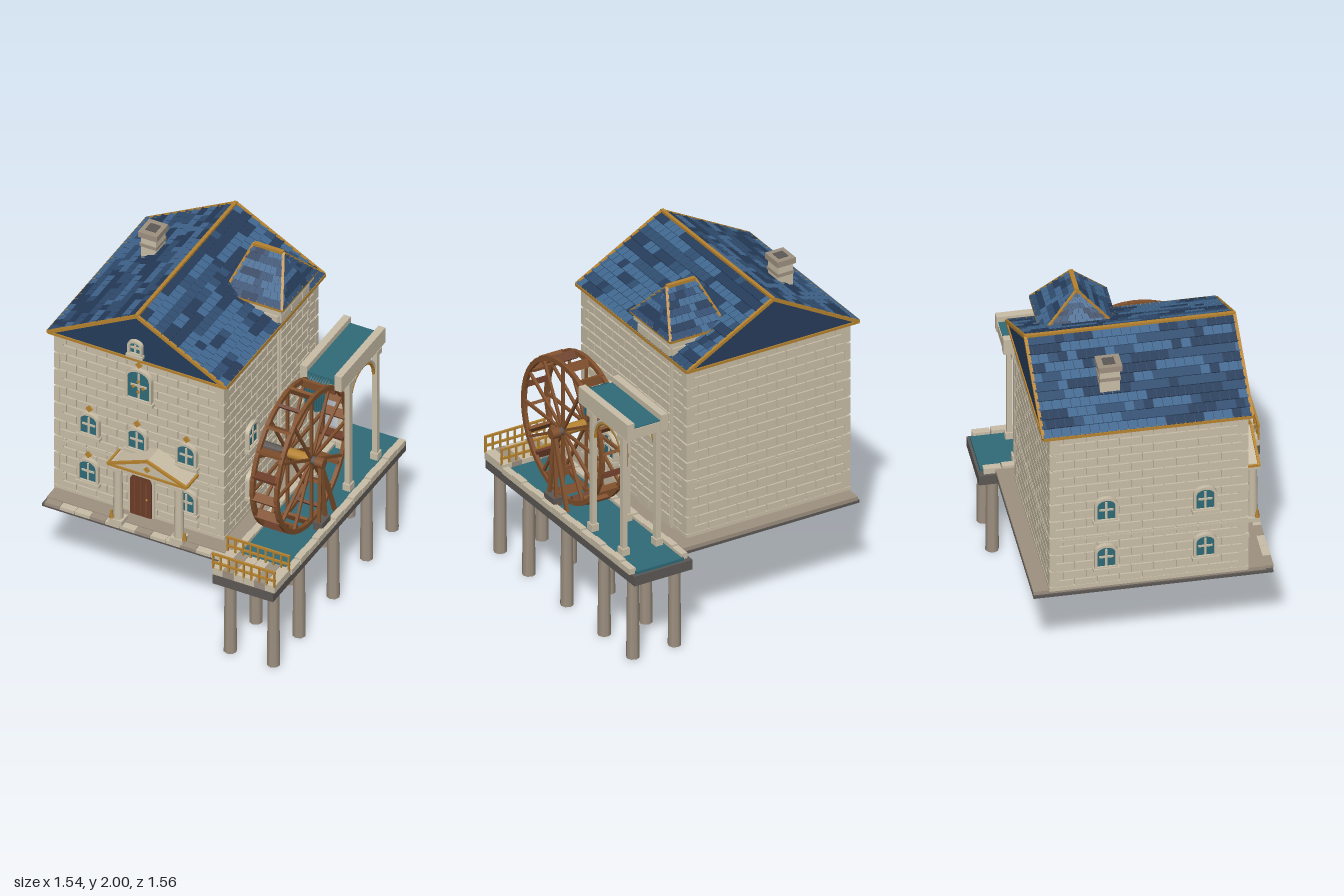
import * as THREE from 'three';
import { mergeGeometries } from 'three/addons/utils/BufferGeometryUtils.js';
import { ConvexGeometry } from 'three/addons/geometries/ConvexGeometry.js';

const V = (x, y, z) => new THREE.Vector3(x, y, z);
const mat = (name, color) => new THREE.MeshStandardMaterial({ name, color, side: THREE.DoubleSide });

export function createModel() {
  const root = new THREE.Group();
  root.name = 'watermill';
  const stone = mat('pale stone', 0xc8bda6), tan = mat('weathered stone', 0x9d9080), dark = mat('dark slate', 0x5c5855);
  const gold = mat('gold trim', 0xb5822f), wood = mat('wheel wood', 0x81502c), door = mat('door wood', 0x6c3d29);
  const blueD = mat('dark blue roof', 0x263c5a), blueM = mat('mid blue roof', 0x304d70), blueL = mat('light blue roof', 0x41678f);
  const teal = mat('teal water', 0x2f6b78);
  let seed = 7;
  const rand = () => (seed = (seed * 16807) % 2147483647) / 2147483647;

  const add = (name, geo, m, parent = root) => {
    const mesh = new THREE.Mesh(geo, m);
    mesh.name = name;
    parent.add(mesh);
    return mesh;
  };
  // box given by its minimum and maximum corners
  const span = (name, m, x0, x1, y0, y1, z0, z1, parent) => {
    const mesh = add(name, new THREE.BoxGeometry(x1 - x0, y1 - y0, z1 - z0), m, parent);
    mesh.position.set((x0 + x1) / 2, (y0 + y1) / 2, (z0 + z1) / 2);
    return mesh;
  };
  // square bar between two points
  const bar = (name, m, a, b, w = 0.02, h = w) => {
    const mesh = add(name, new THREE.BoxGeometry(w, h, a.distanceTo(b)), m);
    mesh.position.copy(a).add(b).multiplyScalar(0.5);
    mesh.lookAt(b);
    return mesh;
  };
  const cyl = (name, m, r0, r1, h, sides, x, y, z) => {
    const mesh = add(name, new THREE.CylinderGeometry(r0, r1, h, sides), m);
    mesh.position.set(x, y, z);
    return mesh;
  };

  // Staggered bricks on one wall; the wall's local +z faces outward
  const bricks = (name, width, y0, y1, x, z, turn) => {
    const list = [], rows = Math.round((y1 - y0) / 0.058), rh = (y1 - y0) / rows, len = 0.125;
    for (let r = 0; r < rows; r++) {
      for (let u = -width / 2 - (r % 2) * len / 2; u < width / 2 - 0.01; u += len) {
        const a = Math.max(u, -width / 2), b = Math.min(u + len, width / 2);
        if (b - a < 0.02) continue;
        list.push(new THREE.BoxGeometry(b - a - 0.01, rh - 0.01, 0.012).translate((a + b) / 2, y0 + (r + 0.5) * rh, 0.004));
      }
    }
    const mesh = add(name, mergeGeometries(list), stone);
    mesh.position.set(x, 0, z);
    mesh.rotation.y = turn;
  };
  const H = Math.PI / 2;

  // House body, string courses and corner quoins
  span('houseWalls', stone, -0.725, 0.3, 0.56, 1.63, -0.59, 0.49);
  bricks('frontBricks', 1.02, 0.58, 1.62, -0.2125, 0.49, 0);
  bricks('backBricks', 1.02, 0.58, 1.62, -0.2125, -0.59, Math.PI);
  bricks('leftBricks', 1.08, 0.58, 1.62, 0.3, -0.05, H);
  bricks('rightBricks', 1.08, 0.58, 1.62, -0.725, -0.05, -H);
  for (const [y, h] of [[0.57, 0.025], [0.895, 0.015], [1.6, 0.03]]) span('stringCourse', stone, -0.738, 0.313, y, y + h, -0.603, 0.503);
  for (const x of [-0.725, 0.3]) for (const z of [-0.59, 0.49]) for (let i = 0; i < 9; i++) {
    const s = i % 2 ? 0.035 : 0.055, y = 0.6 + i * 0.113;
    const sx = Math.sign(x), sz = Math.sign(z);
    const q = add('quoin', new THREE.BoxGeometry(s, 0.1, s), stone);
    q.position.set(x + sx * (0.012 - s / 2), y + 0.05, z + sz * (0.012 - s / 2));
  }

  // Plinth and front paving
  span('plinthUnderside', dark, -0.74, 0.42, 0.535, 0.552, -0.69, 0.64);
  span('plinth', tan, -0.73, 0.42, 0.552, 0.575, -0.69, 0.6);
  for (let i = 0; i < 12; i++) span('pavingBlock', i % 3 ? stone : tan, -0.72 + i * 0.093, -0.63 + i * 0.093, 0.55, 0.57, 0.6, 0.645);

  // Shingled roof plane: a-b is the eave, d-c the top edge
  const slope = (name, a, b, c, d, rows, cols) => {
    const n = b.clone().sub(a).cross(d.clone().sub(a)).normalize();
    const P = (u, v, h) => a.clone().lerp(b, u).lerp(d.clone().lerp(c, u), v).addScaledVector(n, h);
    const tones = [blueD, blueM, blueL], pos = [[], [], []];
    let tone = 1;
    for (let r = 0; r < rows; r++) for (let k = 0; k <= cols; k++) {
      const shift = (r % 2) / 2;
      const u0 = Math.max(0, (k - shift) / cols), u1 = Math.min(1, (k + 1 - shift) / cols) - 0.06 / cols;
      if (u1 <= u0) continue;
      if (rand() < 0.5) tone = Math.floor(rand() * 3);
      const v0 = r / rows, v1 = (r + 1) / rows;
      const p = [P(u0, v0, 0.012), P(u1, v0, 0.012), P(u1, v1, 0.004), P(u0, v1, 0.004), P(u0, v0, 0), P(u1, v0, 0)];
      for (const i of [0, 1, 2, 0, 2, 3, 4, 5, 1, 4, 1, 0]) pos[tone].push(p[i].x, p[i].y, p[i].z);
    }
    pos.forEach((list, i) => {
      const g = new THREE.BufferGeometry();
      g.setAttribute('position', new THREE.Float32BufferAttribute(list, 3));
      g.computeVertexNormals();
      add(name, g, tones[i]);
    });
  };

  // Main gabled roof with gold edging
  const xl = -0.765, xr = 0.33, xm = -0.2175, zf = 0.52, zb = -0.64, ey = 1.635, ry = 1.93;
  add('roofBody', new ConvexGeometry([zf, zb].flatMap(z => [V(xl, ey, z), V(xr, ey, z), V(xm, ry, z)])), blueD);
  slope('leftShingles', V(xr, ey, zf), V(xr, ey, zb), V(xm, ry, zb), V(xm, ry, zf), 11, 22);
  slope('rightShingles', V(xl, ey, zb), V(xl, ey, zf), V(xm, ry, zf), V(xm, ry, zb), 11, 22);
  bar('ridgeTrim', gold, V(xm, ry + 0.005, zb - 0.005), V(xm, ry + 0.005, zf + 0.005), 0.02);
  for (const x of [xl, xr]) {
    bar('eaveTrim', gold, V(x, ey, zb), V(x, ey, zf), 0.018);
    for (const z of [zf, zb]) bar('rakeTrim', gold, V(x, ey, z), V(xm, ry + 0.003, z), 0.018);
  }
  for (const z of [zf, zb]) bar('gableTrim', gold, V(xl, ey, z), V(xr, ey, z), 0.015);

  // Side tower with hipped roof
  span('towerWalls', stone, 0.08, 0.325, 0.57, 1.75, -0.46, -0.12);
  bricks('towerSideBricks', 0.34, 0.6, 1.7, 0.325, -0.29, H);
  bricks('towerFrontBricks', 0.24, 1.64, 1.7, 0.205, -0.12, 0);
  bricks('towerBackBricks', 0.24, 1.64, 1.7, 0.205, -0.46, Math.PI);
  span('towerCornice', stone, 0.06, 0.345, 1.715, 1.765, -0.485, -0.1);
  const c = [V(0, 1.765, -0.09), V(0.355, 1.765, -0.09), V(0.355, 1.765, -0.505), V(0, 1.765, -0.505)];
  const t0 = V(0.075, 1.985, -0.3), t1 = V(0.255, 1.985, -0.3);
  add('towerRoofBody', new ConvexGeometry([...c, t0, t1]), blueD);
  slope('towerShingles', c[0], c[1], t1, t0, 7, 7);
  slope('towerShingles', c[1], c[2], t1, t1, 7, 7);
  slope('towerShingles', c[2], c[3], t0, t1, 7, 7);
  slope('towerShingles', c[3], c[0], t0, t0, 7, 7);
  c.forEach((p, i) => {
    bar('towerEaveTrim', gold, p, c[(i + 1) % 4], 0.016);
    bar('towerHipTrim', gold, p, i === 1 || i === 2 ? t1 : t0, 0.016);
  });
  bar('towerRidgeTrim', gold, t0, t1, 0.025);

  // Chimney
  span('chimneyStack', stone, -0.56, -0.467, 1.7, 1.9, -0.288, -0.178);
  span('chimneyBand', tan, -0.565, -0.462, 1.83, 1.85, -0.293, -0.173);
  span('chimneyCap', tan, -0.572, -0.455, 1.895, 1.93, -0.3, -0.166);
  span('chimneyOpening', dark, -0.545, -0.482, 1.925, 1.933, -0.267, -0.2);

  // Arched outline standing on y = 0
  const arch = (w, h, path = new THREE.Shape(), y0 = 0) => {
    const rise = w * 0.38;
    path.moveTo(-w / 2, y0);
    path.lineTo(w / 2, y0);
    path.lineTo(w / 2, y0 + h - rise);
    path.absellipse(0, y0 + h - rise, w / 2, rise, 0, Math.PI, false, 0);
    path.lineTo(-w / 2, y0);
    return path;
  };
  const extrude = (shape, depth) => new THREE.ExtrudeGeometry(shape, { depth, bevelEnabled: false, curveSegments: 8 });
  const windowAt = (x, y, z, turn, w = 0.13, h = 0.16, diamond = 0) => {
    const g = new THREE.Group();
    g.name = 'archedWindow';
    const frame = arch(w, h);
    frame.holes.push(arch(w - 0.03, h - 0.03, new THREE.Path(), 0.015));
    add('windowFrame', extrude(frame, 0.028), stone, g);
    add('windowGlass', extrude(arch(w - 0.02, h - 0.02), 0.004), teal, g).position.set(0, 0.01, 0.012);
    span('windowMullion', stone, -0.006, 0.006, 0.02, h - 0.03, 0.016, 0.022, g);
    span('windowTransom', stone, -w * 0.3, w * 0.3, h * 0.45, h * 0.45 + 0.012, 0.016, 0.022, g);
    span('windowSill', stone, -w * 0.56, w * 0.56, -0.012, 0.008, 0, 0.036, g);
    if (diamond) {
      const d = add('goldDiamond', new THREE.BoxGeometry(0.03, 0.03, 0.01), gold, g);
      d.position.set(0, h + 0.026, 0.014);
      d.rotation.z = Math.PI / 4;
    }
    g.position.set(x, y, z);
    g.rotation.y = turn;
    root.add(g);
  };
  for (const x of [-0.52, 0.085]) windowAt(x, 0.69, 0.498, 0, 0.13, 0.16, 1);
  for (const x of [-0.515, -0.22, 0.085]) windowAt(x, 1.01, 0.498, 0, 0.13, 0.155, 1);
  windowAt(-0.208, 1.355, 0.498, 0, 0.165, 0.215, 1);
  windowAt(-0.22, 1.675, 0.515, 0, 0.09, 0.1);
  for (const y of [0.7, 1.02]) {
    windowAt(0.306, y, 0.19, H);
    for (const z of [-0.29, 0.26]) windowAt(-0.733, y, z, -H);
  }
  for (const [dx, dy] of [[0, 0.04], [0.03, 0], [-0.03, 0], [0, -0.03]]) {
    const d = add('windowJewel', new THREE.BoxGeometry(0.016, 0.016, 0.006), gold);
    d.position.set(-0.208 + dx, 1.45 + dy, 0.523);
    d.rotation.z = Math.PI / 4;
  }

  // Door and pedimented porch
  const surround = add('doorSurround', extrude(arch(0.16, 0.3), 0.012), stone);
  surround.position.set(-0.195, 0.575, 0.498);
  add('door', extrude(arch(0.13, 0.28), 0.015), door).position.set(-0.195, 0.575, 0.503);
  for (let i = -1; i < 2; i++) span('doorPlankLine', wood, -0.197 + i * 0.035, -0.193 + i * 0.035, 0.59, 0.81, 0.517, 0.521);
  add('doorKnob', new THREE.SphereGeometry(0.007, 8, 6), gold).position.set(-0.155, 0.7, 0.524);
  for (const x of [-0.285, 0.09]) {
    span('columnBase', stone, x - 0.04, x + 0.04, 0.57, 0.6, 0.57, 0.645);
    cyl('column', stone, 0.024, 0.029, 0.34, 10, x, 0.77, 0.61);
    span('columnCapital', stone, x - 0.036, x + 0.036, 0.93, 0.952, 0.575, 0.645);
    cyl('lantern', gold, 0.006, 0.014, 0.05, 6, x + (x < 0 ? -0.03 : 0.045), 0.625, 0.63);
  }
  span('entablature', stone, -0.325, 0.14, 0.945, 0.97, 0.49, 0.64);
  const px = -0.0925;
  add('pediment', new ConvexGeometry([0.49, 0.635].flatMap(z => [V(-0.33, 0.965, z), V(0.145, 0.965, z), V(px, 1.06, z)])), stone);
  for (const x of [-0.335, 0.15]) {
    bar('pedimentTrim', gold, V(x, 0.967, 0.637), V(px, 1.062, 0.637), 0.015);
    bar('pedimentEave', gold, V(x, 0.967, 0.5), V(x, 0.967, 0.64), 0.012);
  }
  bar('pedimentBase', gold, V(-0.335, 0.965, 0.637), V(0.15, 0.965, 0.637), 0.013);
  const jewel = add('pedimentJewel', new THREE.BoxGeometry(0.028, 0.028, 0.008), gold);
  jewel.position.set(px, 1.005, 0.638);
  jewel.rotation.z = Math.PI / 4;

  // Canal on piles
  span('canalSlab', dark, 0.385, 0.757, 0.49, 0.55, -0.785, 0.775);
  span('canalWater', teal, 0.43, 0.735, 0.55, 0.568, -0.77, 0.585);
  for (const z of [0.69, 0.39, -0.01, -0.4, -0.7]) for (const x of [0.449, 0.715]) cyl('pile', tan, 0.033, 0.038, 0.49, 8, x, 0.245, z);
  for (let i = 0; i < 13; i++) {
    const z = -0.755 + i * 0.103;
    span('innerCurbBlock', stone, 0.4, 0.44, 0.55, 0.585 + (i % 2) * 0.006, z, z + 0.097);
    span('outerCurbBlock', stone, 0.73, 0.77, 0.55, 0.585 + (i % 2) * 0.006, z, z + 0.097);
  }
  // Front landing and railings
  for (let i = 0; i < 6; i++) span('landingPlank', i % 3 === 1 ? tan : stone, 0.383 + i * 0.064, 0.445 + i * 0.064, 0.55, 0.597, 0.585, 0.772);
  for (const z of [0.598, 0.768]) {
    for (const y of [0.632, 0.688]) bar('handrail', gold, V(0.378, y, z), V(0.768, y, z), 0.012);
    for (let i = 0; i < 9; i++) span('railPost', gold, 0.38 + i * 0.047, 0.39 + i * 0.047, 0.59, 0.69, z - 0.005, z + 0.005);
  }

  // Flume on an arched trestle, with falling water
  span('flumeFloor', stone, 0.455, 0.705, 1.31, 1.345, -0.63, -0.13);
  span('flumeEnd', stone, 0.455, 0.705, 1.31, 1.37, -0.63, -0.61);
  span('flumeWater', teal, 0.49, 0.67, 1.34, 1.376, -0.625, -0.125);
  for (const x of [0.452, 0.665]) {
    span('flumeSide', stone, x, x + 0.043, 1.31, 1.41, -0.635, -0.12);
    for (const z of [-0.56, -0.24]) {
      span('trestlePost', stone, x + 0.008, x + 0.038, 0.56, 1.31, z - 0.016, z + 0.016);
      span('trestleFoot', stone, x, x + 0.046, 0.56, 0.61, z - 0.026, z + 0.026);
      span('trestleCap', stone, x, x + 0.046, 1.275, 1.31, z - 0.03, z + 0.03);
    }
    for (const [r, m] of [[0.135, gold], [0.15, stone]]) {
      const a = add('trestleArch', new THREE.TorusGeometry(r, 0.009, 6, 16, Math.PI), m);
      a.position.set(x + 0.022, 1.155, -0.4);
      a.rotation.y = H;
    }
  }
  for (let i = 0; i < 9; i++) {
    const x = 0.515 + i * 0.015, end = 1.17 + 0.03 * rand();
    const path = new THREE.CatmullRomCurve3([V(x, 1.37, -0.15), V(x, 1.365, -0.1), V(x, 1.31, -0.072), V(x, end, -0.065)]);
    add('fallingWater', new THREE.TubeGeometry(path, 8, 0.007, 5), teal);
  }

  // Water wheel
  const cy = 1, cz = 0.13, polar = (x, r, a) => V(x, cy + r * Math.cos(a), cz + r * Math.sin(a));
  const ring = [[0.396, -0.011], [0.424, -0.011], [0.424, 0.011], [0.396, 0.011], [0.396, -0.011]].map(p => new THREE.Vector2(...p));
  for (const x of [0.507, 0.655]) {
    const rim = add('wheelRim', new THREE.LatheGeometry(ring, 36).toNonIndexed(), wood);
    rim.geometry.computeVertexNormals();
    rim.rotation.z = H;
    rim.position.set(x, cy, cz);
    for (let i = 0; i < 12; i++) bar('wheelSpoke', wood, polar(x, 0.02, i * Math.PI / 6), polar(x, 0.405, i * Math.PI / 6), 0.015);
  }
  for (let i = 0; i < 18; i++) {
    const a = (15 + i * 20) * Math.PI / 180;
    const p = add('wheelPaddle', new THREE.BoxGeometry(0.15, 0.05, 0.018), i % 3 ? wood : door);
    p.position.copy(polar(0.581, 0.402, a));
    p.rotation.x = a + 0.5;
  }
  // Axle, hub and outer bearing frame
  for (const [name, m, r, x0, x1] of [['axle', dark, 0.024, 0.3, 0.72], ['hub', gold, 0.031, 0.52, 0.645], ['axleCap', wood, 0.032, 0.685, 0.735]]) {
    cyl(name, m, r, r, x1 - x0, 10, (x0 + x1) / 2, cy, cz).rotation.z = H;
  }
  for (const z of [-0.02, 0.09, 0.17]) bar('bearingLeg', wood, V(0.71, cy, cz), V(0.72, 0.58, z), 0.02);
  span('bearingBlock', dark, 0.69, 0.745, 0.57, 0.62, 0.08, 0.18);

  return root;
}
